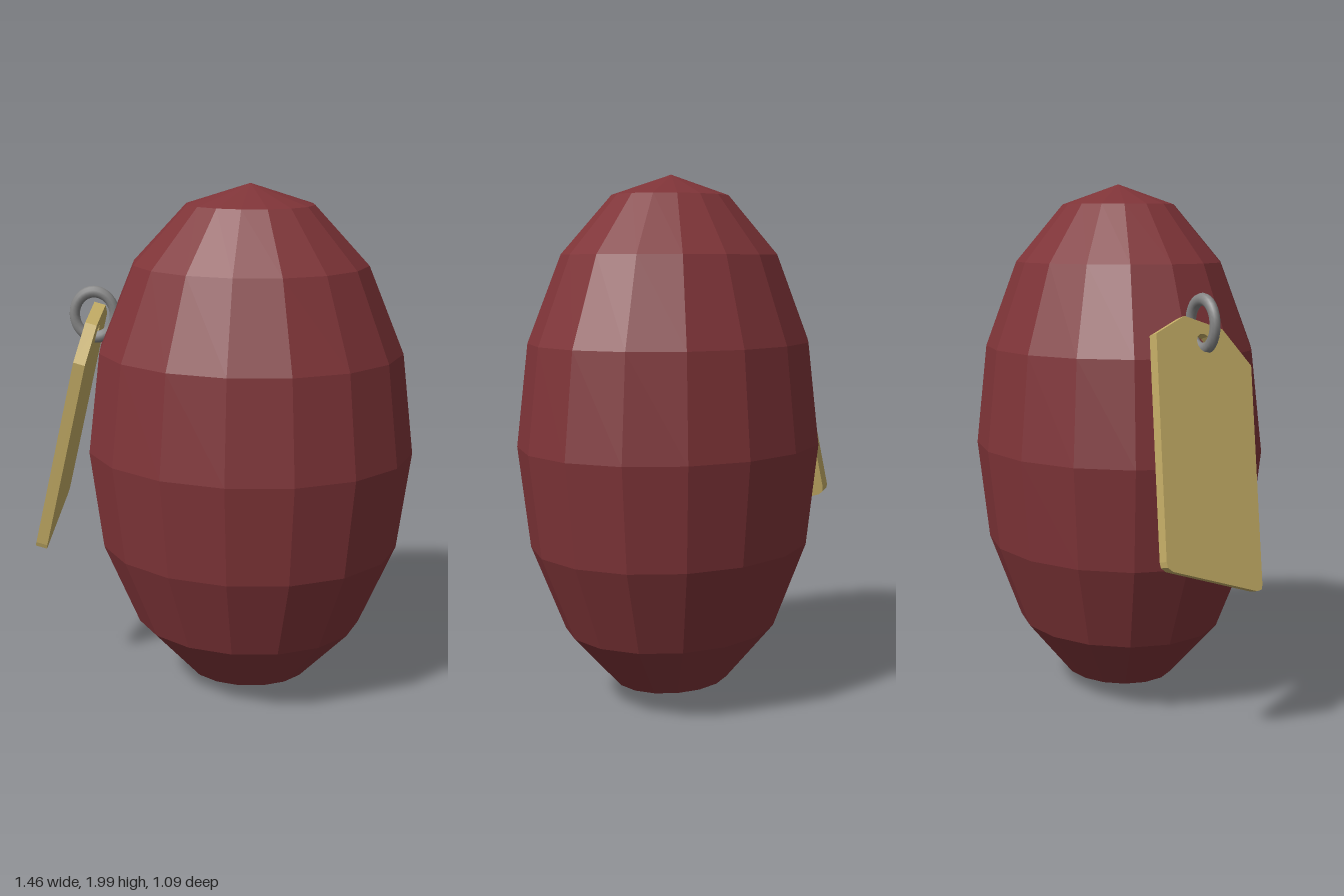
import * as THREE from 'three';

function addMesh(parent, name, geometry, color, flatShading) {
  const mesh = new THREE.Mesh(geometry, new THREE.MeshStandardMaterial({ color, flatShading }));
  mesh.name = name;
  parent.add(mesh);
  return mesh;
}

export function createModel() {
  const model = new THREE.Group();
  model.name = 'taggedEgg';

  // Faceted egg-shaped body
  const body = addMesh(model, 'body', new THREE.SphereGeometry(1, 16, 8), 0x7f3438, true);
  body.scale.set(0.625, 0.995, 0.545);
  body.position.set(0.105, 1.0, 0);

  // Tag outline: u across the width, v up the length, clipped corners
  const outline = new THREE.Shape([
    [-0.44, 0], [0.44, 0], [0.49, 0.012], [0.5, 0.035], [0.5, 1],
    [0.2, 1.12], [-0.2, 1.12], [-0.5, 1], [-0.5, 0.035], [-0.49, 0.012],
  ].map(([u, v]) => new THREE.Vector2(u, v)));

  // Hole for the ring
  const hole = new THREE.Path();
  hole.absellipse(0, 1.03, 0.08, 0.04, 0, Math.PI * 2, true);
  outline.holes.push(hole);

  // Tag leans against the body along its own slanted axes
  const across = new THREE.Vector3(0.015, -0.13, 0.385);
  const along = new THREE.Vector3(0.2, 0.77, 0.06);
  const outward = new THREE.Vector3(-0.043, 0.012, 0.004);
  const lean = new THREE.Matrix4().makeBasis(across, along, outward).setPosition(-0.685, 0.633, -0.034);
  const tag = new THREE.ExtrudeGeometry(outline, { depth: 1, bevelEnabled: false, curveSegments: 6 });
  tag.applyMatrix4(lean);
  addMesh(model, 'tag', tag, 0xc4ad66, true);

  // Ring joining the tag to the body
  const ring = addMesh(model, 'ring', new THREE.TorusGeometry(0.077, 0.02, 10, 32), 0x858585, false);
  ring.scale.set(1, 1.13, 1);
  ring.position.set(-0.483, 1.5, 0.045);
  ring.rotation.y = 0.08;

  return model;
}
